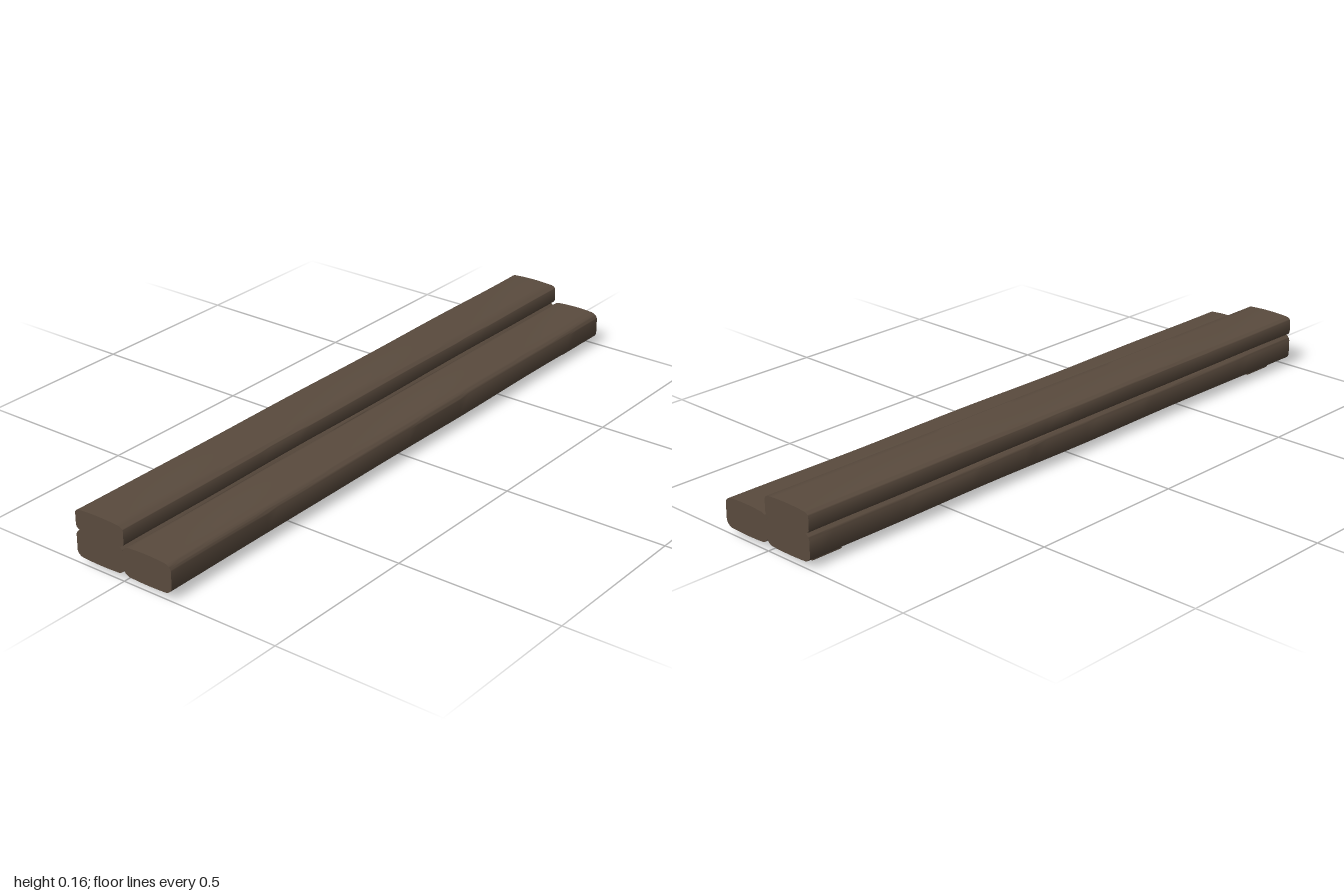
import * as THREE from 'three';
import { toCreasedNormals } from 'three/addons/utils/BufferGeometryUtils.js';

const wood = new THREE.MeshStandardMaterial({ color: 0x5a4b3e });
wood.name = 'dark weathered wood';

// Timber running along x: softly rounded, slightly crowned section, gently worn along its length
function beam(name, z0, z1, y0, y1, r, crown, sag, phase) {
  const s = new THREE.Shape();
  const zm = (z0 + z1) / 2, ym = (y0 + y1) / 2;
  s.moveTo(z0 + r, y0 + sag);
  s.quadraticCurveTo(zm, y0 - sag, z1 - r, y0 + sag);
  s.quadraticCurveTo(z1 - r * 0.2, y0 + sag + r * 0.2, z1, y0 + r);
  s.lineTo(z1, y1 - r);
  s.quadraticCurveTo(z1 - r * 0.2, y1 - crown - r * 0.15, z1 - r, y1 - crown);
  s.quadraticCurveTo(zm, y1 + crown, z0 + r, y1 - crown);
  s.quadraticCurveTo(z0 + r * 0.2, y1 - crown - r * 0.15, z0, y1 - r);
  s.lineTo(z0, y0 + r);
  s.quadraticCurveTo(z0 + r * 0.2, y0 + sag + r * 0.2, z0 + r, y0 + sag);

  const g = new THREE.ExtrudeGeometry(s, { depth: 2, steps: 48, bevelEnabled: false, curveSegments: 8 });
  g.translate(0, 0, -1);
  g.rotateY(-Math.PI / 2);
  // Wear: shallow inward waves, fading out at the ends
  const p = g.attributes.position;
  for (let i = 0; i < p.count; i++) {
    const x = p.getX(i), y = p.getY(i), z = p.getZ(i);
    const fade = 1 - Math.pow(Math.abs(x), 6);
    const wy = 1 - 0.025 * fade * (1 + Math.sin(x * 7 + phase + z * 20));
    const wz = 1 - 0.012 * fade * (1 + Math.sin(x * 9 + phase * 2 + y * 25));
    p.setXYZ(i, x, ym + (y - ym) * wy, zm + (z - zm) * wz);
  }
  const mesh = new THREE.Mesh(toCreasedNormals(g, 0.7), wood);
  mesh.name = name;
  return mesh;
}

export function createModel() {
  const group = new THREE.Group();
  group.name = 'timberStep';

  group.add(
    beam('frontBeam', 0, 0.165, 0.017, 0.107, 0.02, 0.003, 0.002, 0.4),
    beam('backLowerBeam', -0.163, 0.002, 0.017, 0.101, 0.018, 0.002, 0.002, 2.1),
    beam('backUpperBeam', -0.163, 0.005, 0.097, 0.161, 0.014, 0.003, 0.001, 4.0)
  );

  // Flat cross bearers under both ends
  for (const [name, x] of [['rightBearer', -0.89], ['leftBearer', 0.91]]) {
    const foot = new THREE.Mesh(new THREE.BoxGeometry(0.1, 0.026, 0.252), wood);
    foot.position.set(x, 0.013, 0.002);
    foot.name = name;
    group.add(foot);
  }
  return group;
}
